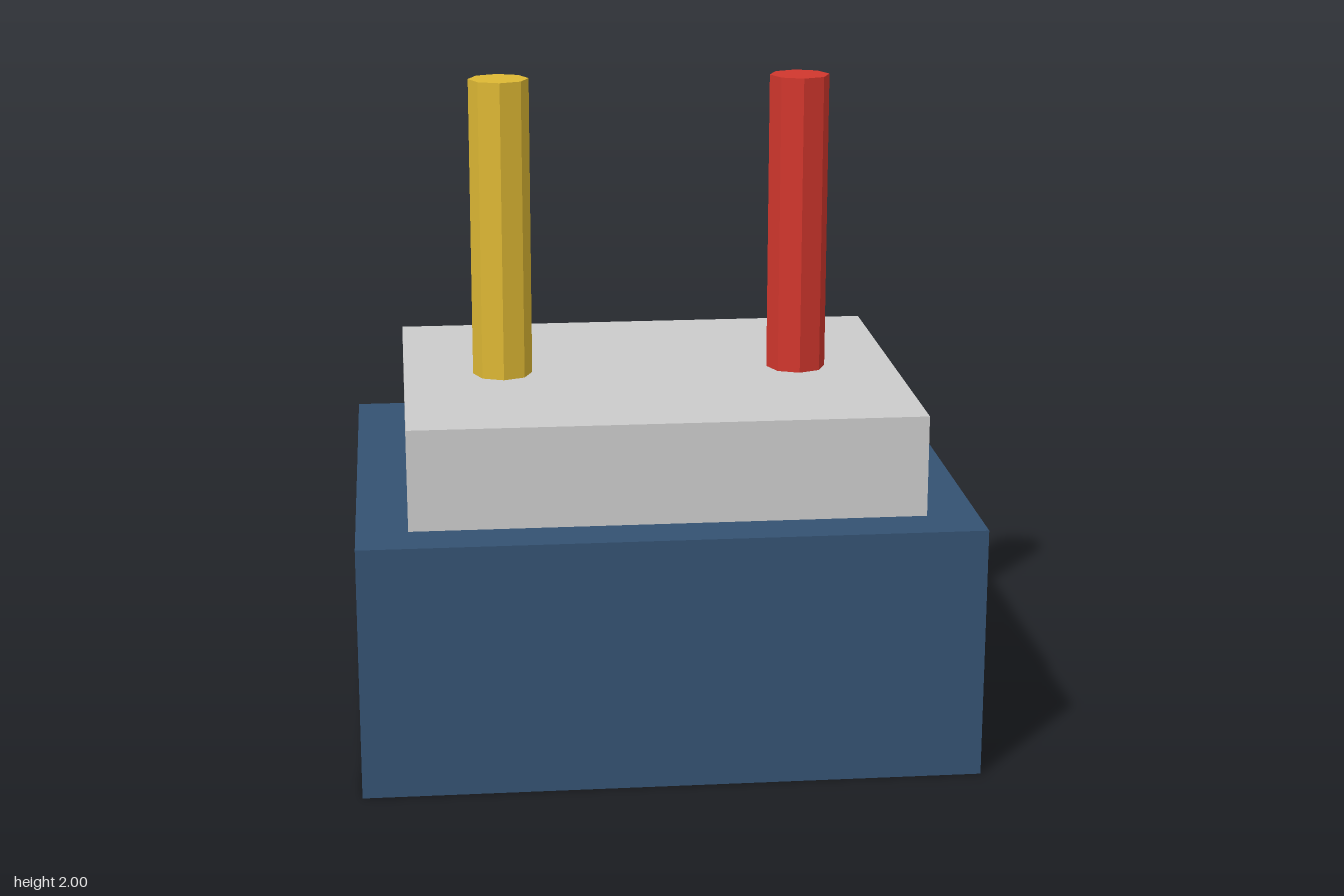
import * as THREE from 'three';

const U = 1 / 1.3; // design unit, giving a total height of 2

function material(color) {
  return new THREE.MeshStandardMaterial({ color, flatShading: true });
}

// Adds a part standing on the given height
function addPart(group, name, geometry, height, color, x, bottom) {
  const mesh = new THREE.Mesh(geometry, material(color));
  mesh.name = name;
  mesh.position.set(x * U, (bottom + height / 2) * U, 0);
  group.add(mesh);
}

export function createModel() {
  const model = new THREE.Group();
  model.name = 'batteryBlock';

  // Body and the smaller lid on top of it
  addPart(model, 'body', new THREE.BoxGeometry(2.4 * U, U, 2 * U), 1, 0x345272, 0, 0);
  addPart(model, 'lid', new THREE.BoxGeometry(2 * U, 0.4 * U, 1.6 * U), 0.4, 0xcccccc, 0, 1);

  // Eight-sided terminal posts
  for (const [name, x, color] of [['leftTerminal', 0.6, 0xd1372d], ['rightTerminal', -0.6, 0xddb834]]) {
    addPart(model, name, new THREE.CylinderGeometry(0.12 * U, 0.12 * U, 1.2 * U, 8), 1.2, color, x, 1.4);
  }

  return model;
}
